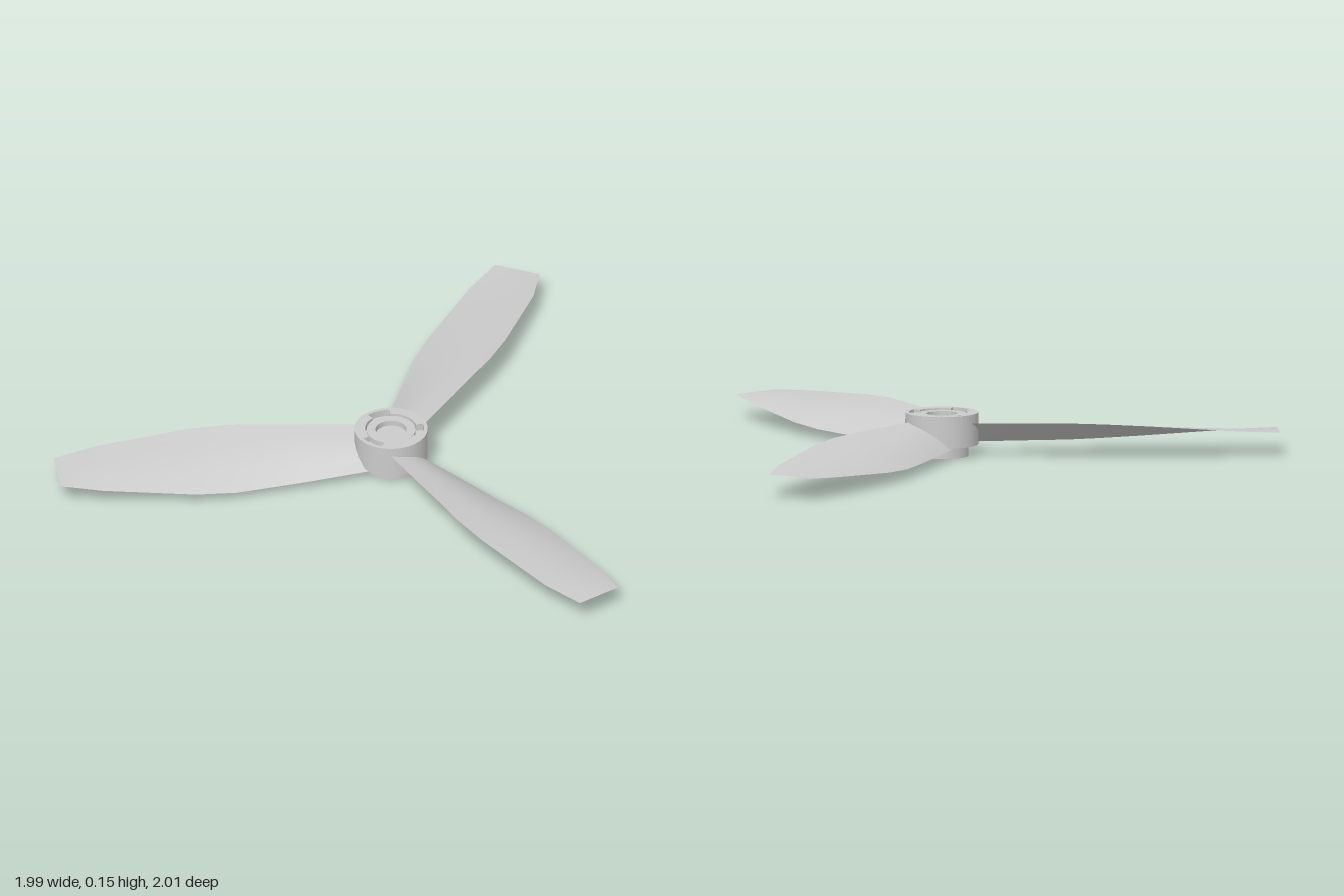
import * as THREE from 'three';

const grey = () => new THREE.MeshStandardMaterial({ color: 0xcccccc, side: THREE.DoubleSide });

// Blade stations: [distance, trailing edge, leading edge, half rise, thickness]
const STATIONS = [
  [0.085, -0.077, 0.082, 0.043, 0],
  [0.09, -0.077, 0.082, 0.043, 0.022],
  [0.31, -0.106, 0.115, 0.045, 0.018],
  [0.44, -0.122, 0.131, 0.046, 0.015],
  [0.55, -0.136, 0.148, 0.044, 0.013],
  [0.69, -0.138, 0.151, 0.037, 0.011],
  [1.005, -0.112, 0.121, 0.013, 0.006],
  [1.15, -0.075, 0.09, 0.002, 0],
];
const ACROSS = 10;

// Upper and lower skins meet in sharp edges, each with its own smooth normals
function bladeGeometry() {
  const pos = [], index = [];
  for (const side of [1, -1]) {
    const start = pos.length / 3;
    for (const [a, b0, b1, rise, thick] of STATIONS) {
      for (let j = 0; j <= ACROSS; j++) {
        const t = j / ACROSS;
        const bulge = Math.sin(Math.PI * Math.pow(t, 1.15));
        const camber = 0.2 * rise * bulge;
        const y = rise * (1 - 2 * t) + camber + side * thick * 0.5 * bulge;
        pos.push(a, y, -(b0 + (b1 - b0) * t));
      }
    }
    const w = ACROSS + 1;
    for (let i = 0; i < STATIONS.length - 1; i++) {
      for (let j = 0; j < ACROSS; j++) {
        const p = start + i * w + j, q = p + w;
        if (side > 0) index.push(p, q, q + 1, p, q + 1, p + 1);
        else index.push(p, q + 1, q, p, p + 1, q + 1);
      }
    }
  }
  const g = new THREE.BufferGeometry();
  g.setAttribute('position', new THREE.Float32BufferAttribute(pos, 3));
  g.setIndex(index);
  g.computeVertexNormals();
  return g;
}

// Upright extrusion of a flat outline between two heights
function upright(shape, y0, y1) {
  const g = new THREE.ExtrudeGeometry(shape, { depth: y1 - y0, bevelEnabled: false, curveSegments: 24 });
  g.rotateX(-Math.PI / 2);
  g.translate(0, y0, 0);
  return g;
}

function circle(r, Type = THREE.Shape) {
  return new Type().absarc(0, 0, r, 0, Math.PI * 2, false);
}

export function createModel() {
  const root = new THREE.Group();
  root.name = 'propeller';
  const add = (name, geometry) => {
    const mesh = new THREE.Mesh(geometry, grey());
    mesh.name = name;
    root.add(mesh);
    return mesh;
  };

  // Hub body and the narrower collar below it
  add('hubBody', new THREE.CylinderGeometry(0.125, 0.125, 0.085, 28)).position.y = 0.0825;
  add('hubCollar', new THREE.CylinderGeometry(0.091, 0.091, 0.045, 28)).position.y = 0.0225;

  // Rim with three wider notches cut into its inner wall
  const rim = circle(0.125);
  const opening = new THREE.Path();
  for (let k = 0; k < 3; k++) {
    const mid = (60 + 120 * k) * Math.PI / 180, half = 0.36;
    opening.absarc(0, 0, 0.112, mid - half, mid + half, false);
    opening.absarc(0, 0, 0.088, mid + half, mid - half + Math.PI * 2 / 3, false);
  }
  opening.closePath();
  rim.holes.push(opening);
  add('hubRim', upright(rim, 0.125, 0.15));

  // Raised ring around the shaft hole
  const ring = circle(0.083);
  ring.holes.push(circle(0.053, THREE.Path));
  add('shaftRing', upright(ring, 0.125, 0.145));

  // Three pitched blades
  const geometry = bladeGeometry();
  for (let k = 0; k < 3; k++) {
    const blade = add('blade' + (k + 1), geometry);
    blade.position.y = 0.078;
    blade.rotation.y = (13.7 + 120 * k) * Math.PI / 180;
  }

  root.position.set(-0.155, 0, -0.11);
  const model = new THREE.Group();
  model.add(root);
  return model;
}
